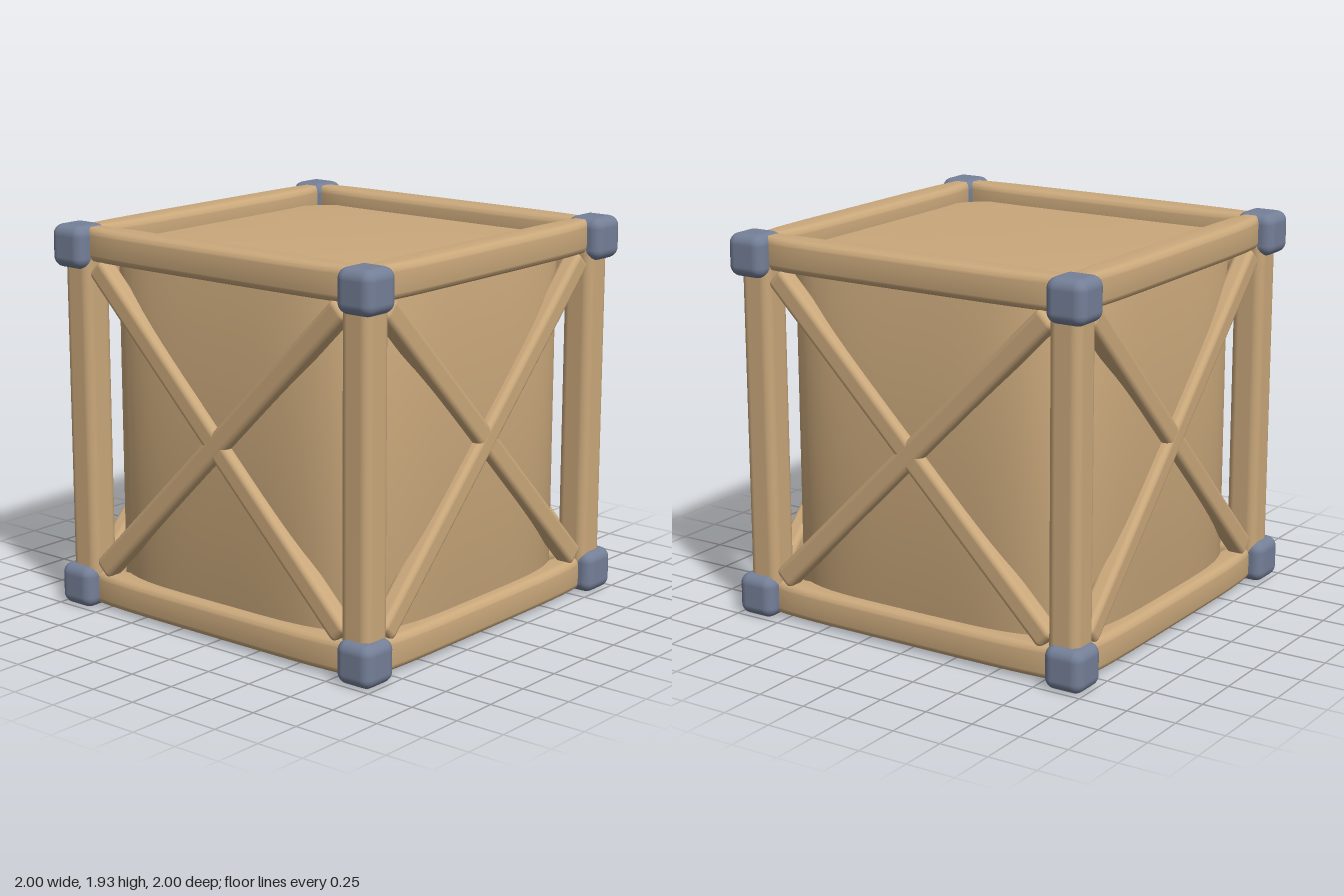
import * as THREE from 'three';
import { toCreasedNormals } from 'three/addons/utils/BufferGeometryUtils.js';
import { RoundedBoxGeometry } from 'three/addons/geometries/RoundedBoxGeometry.js';

const wood = new THREE.MeshStandardMaterial({ color: 0xcaa87b });
wood.name = 'wood';
const steel = new THREE.MeshStandardMaterial({ color: 0x747f97 });
steel.name = 'blueSteel';

const LOW = 0.106, HIGH = 1.829, MID = 0.9675; // heights of corner blocks and crate middle
const BEAM = 0.872; // distance of beams and posts from the axis

function add(parent, name, geometry, material, x = 0, y = 0, z = 0) {
  const mesh = new THREE.Mesh(geometry, material);
  mesh.name = name;
  mesh.position.set(x, y, z);
  parent.add(mesh);
  return mesh;
}

function roundedSquare(half, r) {
  const s = new THREE.Shape();
  const c = half - r;
  s.absarc(c, c, r, 0, Math.PI / 2);
  s.absarc(-c, c, r, Math.PI / 2, Math.PI);
  s.absarc(-c, -c, r, Math.PI, Math.PI * 1.5);
  s.absarc(c, -c, r, Math.PI * 1.5, Math.PI * 2);
  s.closePath();
  return s;
}

// Beam along x whose width narrows softly towards both ends
function beamGeometry() {
  const length = 1.72;
  const g = new THREE.ExtrudeGeometry(roundedSquare(0.083, 0.042), {
    depth: length, steps: 32, bevelEnabled: false, curveSegments: 5,
  });
  g.translate(0, 0, -length / 2);
  g.rotateY(Math.PI / 2);
  const p = g.attributes.position;
  for (let i = 0; i < p.count; i++) {
    const t = Math.abs(p.getX(i)) / 0.905;
    p.setZ(i, p.getZ(i) * Math.sqrt(1 - t ** 5));
  }
  return toCreasedNormals(g, 0.7);
}

// Body: upright prism with softly bulging sides and eased rims
function bodyGeometry() {
  const n = 4.5, half = 0.89, points = [];
  for (let i = 0; i < 96; i++) {
    const a = (i / 96) * Math.PI * 2;
    const c = Math.cos(a), s = Math.sin(a);
    const r = half / (Math.abs(c) ** n + Math.abs(s) ** n) ** (1 / n);
    points.push(new THREE.Vector2(c * r, s * r));
  }
  const height = 1.74, rim = 0.025;
  const g = new THREE.ExtrudeGeometry(new THREE.Shape(points), {
    depth: height - 2 * rim, bevelThickness: rim, bevelSize: rim, bevelOffset: -rim, bevelSegments: 3,
  });
  g.translate(0, 0, rim - height / 2);
  g.rotateX(-Math.PI / 2);
  return toCreasedNormals(g, 0.45);
}

export function createModel() {
  const crate = new THREE.Group();
  crate.name = 'crate';

  add(crate, 'body', bodyGeometry(), wood, 0, MID, 0);

  const block = new RoundedBoxGeometry(0.208, 0.212, 0.208, 5, 0.053);
  const post = new RoundedBoxGeometry(0.166, 1.72, 0.166, 4, 0.045);
  const beam = beamGeometry();
  const brace = new RoundedBoxGeometry(0.115, 2.18, 0.1, 4, 0.03);

  // Upright corner posts with a metal block at each end
  for (const x of [-1, 1]) {
    for (const z of [-1, 1]) {
      add(crate, 'cornerPost', post, wood, x * BEAM, MID, z * BEAM);
      for (const y of [LOW, HIGH]) {
        add(crate, 'cornerBlock', block, steel, x * 0.896, y, z * 0.896);
      }
    }
  }

  // Four equal sides, each with two beams and a crossed brace
  for (let i = 0; i < 4; i++) {
    const side = new THREE.Group();
    side.name = 'side';
    side.rotation.y = (i * Math.PI) / 2;
    crate.add(side);
    add(side, 'lowerBeam', beam, wood, 0, 0.098, BEAM);
    add(side, 'upperBeam', beam, wood, 0, 1.842, BEAM);
    add(side, 'risingBrace', brace, wood, 0, MID, 0.888).rotation.z = -Math.PI / 4;
    add(side, 'fallingBrace', brace, wood, 0, MID, 0.887).rotation.z = Math.PI / 4;
  }

  return crate;
}
